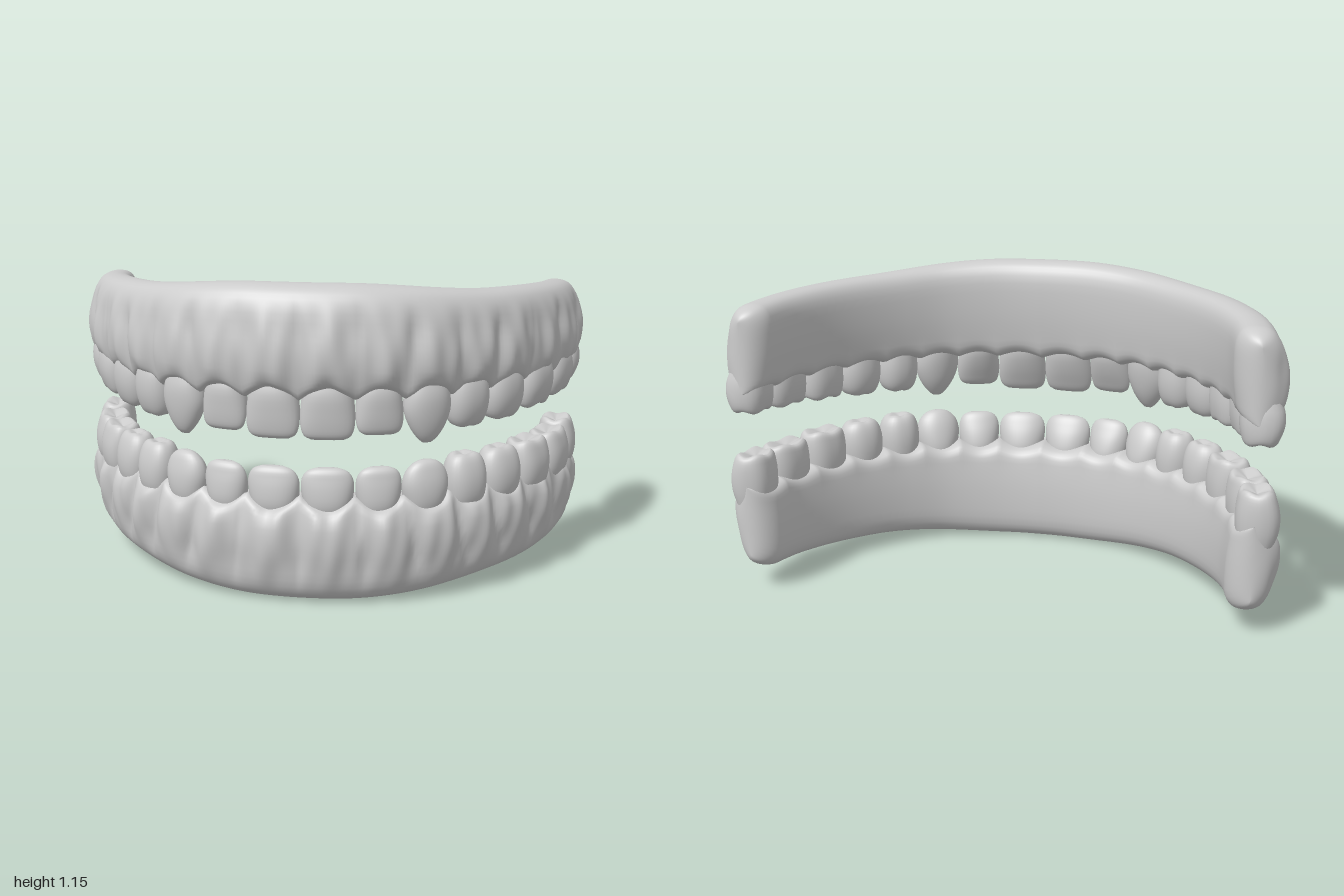
import * as THREE from 'three';

const material = new THREE.MeshStandardMaterial({ color: 0xcccccc });
const TOTAL = 1.15; // overall height; the upper jaw is the lower one mirrored about its middle

// Dental arch seen from above (x, z), one half mirrored to the other
const half = [[0.2, 0.371], [0.4, 0.304], [0.552, 0.203], [0.686, 0.07], [0.792, -0.08], [0.87, -0.25], [0.904, -0.4], [0.914, -0.495]];
const arch = new THREE.CatmullRomCurve3([
  ...half.map(([x, z]) => new THREE.Vector3(-x, 0, z)).reverse(),
  new THREE.Vector3(0, 0, 0.391),
  ...half.map(([x, z]) => new THREE.Vector3(x, 0, z)),
]);
arch.arcLengthDivisions = 1500;
const L = arch.getLength() / 2;

// Tooth spacing along the arch, from the middle to the back
const rawWidths = [0.184, 0.161, 0.165, 0.156, 0.17, 0.178, 0.192, 0.162];
const rawSum = rawWidths.reduce((a, b) => a + b, 0);
const widths = rawWidths.map((w) => (w * L) / rawSum);
const starts = widths.map((_, i) => widths.slice(0, i).reduce((a, b) => a + b, 0));

const smooth = THREE.MathUtils.smoothstep;

// Point and outward normal at signed distance s from the middle of the arch
function frame(s) {
  const u = THREE.MathUtils.clamp((s / L + 1) / 2, 0, 1);
  const t = arch.getTangentAt(u);
  return { p: arch.getPointAt(u), n: new THREE.Vector3(-t.z, 0, t.x).normalize() };
}

// 0 between two teeth, 1 at the middle of a tooth
function bulge(a) {
  const d = THREE.MathUtils.clamp(a, 0, L - 1e-6);
  let i = 7;
  while (starts[i] > d) i--;
  return Math.abs(Math.sin((Math.PI * (d - starts[i])) / widths[i]));
}

// Surface over rows i = 0..nu and a loop or strip of columns j
function grid(nu, nv, closeU, closeV, fn, flip = false) {
  const pos = [], idx = [];
  const cu = closeU ? nu : nu + 1, cv = closeV ? nv : nv + 1;
  for (let i = 0; i < cu; i++) for (let j = 0; j < cv; j++) pos.push(...fn(i, j));
  for (let i = 0; i < nu; i++) {
    for (let j = 0; j < nv; j++) {
      const i1 = (i + 1) % cu, j1 = (j + 1) % cv;
      const a = i * cv + j, b = i1 * cv + j, c = i1 * cv + j1, d = i * cv + j1;
      if (flip) idx.push(a, c, b, a, d, c);
      else idx.push(a, b, c, a, c, d);
    }
  }
  const g = new THREE.BufferGeometry();
  g.setAttribute('position', new THREE.Float32BufferAttribute(pos, 3));
  g.setIndex(idx);
  g.computeVertexNormals();
  return g;
}

// Gum section: outward offset, height fraction (0 = jaw edge, 1 = gum line)
const section = new THREE.CatmullRomCurve3([
  [-0.02, 0], [0.03, 0.03], [0.07, 0.15], [0.096, 0.4], [0.108, 0.65], [0.098, 0.87], [0.073, 0.99],
  [0.02, 1.03], [-0.04, 1.03], [-0.076, 0.98], [-0.094, 0.8], [-0.106, 0.4], [-0.096, 0.12], [-0.064, 0.02],
].map(([n, h]) => new THREE.Vector3(n, h, 0)), true);

function gum(upper) {
  const NU = 380, NV = 46, END = 0.09;
  const ring = Array.from({ length: NV }, (_, j) => section.getPoint(j / NV));
  const rows = Array.from({ length: NU + 1 }, (_, i) => {
    const s = L * Math.sin((i / NU - 0.5) * Math.PI);
    return { s, ...frame(s) };
  });
  const slant = upper ? 0.02 : 0.08;
  const ridge = upper ? 0.02 : 0.03;
  return grid(NU, NV, false, true, (i, j) => {
    const { s, p, n } = rows[i];
    const a = Math.abs(s), { x: off, y: h } = ring[j];
    // jaw edge is deepest at the front
    const edge = 0.03 * smooth(a, 0.15, 0.75) + 0.055 * (a / L) ** 2;
    const line = 0.372 + 0.012 * (a / L) ** 2;
    const outer = smooth(off, 0.02, 0.07);
    let y = edge + h * (line - edge);
    // gum line dips at each tooth and rises between them
    const scallop = (0.03 - 0.052 * bulge(a)) * (1 - (upper ? 0.5 : 0.2) * (a / L));
    y += scallop * smooth(h, 0.75, 1) * (0.4 + 0.6 * outer);
    // root ridges and fine ripples on the outer wall
    const b = bulge(a - slant * (1 - h) * Math.min(1, a / 0.4));
    const fade = smooth(h, 0.08, 0.5) * outer;
    let o = off * (1 - 0.17 * (a / L));
    o += fade * (ridge * (b - 0.75) + 0.003 * Math.sin(a * 57 + h * 5) + 0.003 * Math.sin(a * 83 - h * 4));
    // rounded ends
    const q = 1 - Math.min(1, (L - a) / END);
    const k = Math.sqrt(Math.max(0, 1 - q * q));
    o *= k;
    y = line + (y - line) * (1 - 0.18 * (1 - k));
    return [p.x + n.x * o, upper ? TOTAL - y : y, p.z + n.z * o];
  }, upper);
}

// Tooth profiles: rows of height, half width (share of spacing), half depth, outward shift
const shapes = {
  upperIncisor: { rows: [[0, 0.38, 0.05, 0.005], [0.25, 0.45, 0.06, 0.01], [0.55, 0.49, 0.05, 0.018], [0.8, 0.48, 0.035, 0.027], [0.94, 0.42, 0.023, 0.031], [1, 0.3, 0.011, 0.032]], power: 2.4, dip: 0, cusp: 0 },
  lowerIncisor: { rows: [[0, 0.38, 0.05, 0.008], [0.25, 0.44, 0.058, 0.012], [0.55, 0.48, 0.05, 0.018], [0.78, 0.46, 0.036, 0.024], [0.93, 0.37, 0.024, 0.028], [1, 0.21, 0.011, 0.028]], power: 2.3, dip: 0, cusp: 0 },
  upperCanine: { rows: [[0, 0.4, 0.055, 0.012], [0.25, 0.48, 0.065, 0.018], [0.5, 0.5, 0.06, 0.022], [0.75, 0.38, 0.045, 0.026], [0.93, 0.21, 0.024, 0.03], [1, 0.1, 0.009, 0.03]], power: 2.2, dip: 0, cusp: 0 },
  lowerCanine: { rows: [[0, 0.38, 0.055, 0.008], [0.25, 0.45, 0.064, 0.012], [0.55, 0.5, 0.058, 0.018], [0.8, 0.43, 0.042, 0.022], [0.95, 0.27, 0.024, 0.026], [1, 0.12, 0.01, 0.026]], power: 2.3, dip: 0, cusp: 0 },
  premolar: { rows: [[0, 0.4, 0.06, 0.01], [0.25, 0.47, 0.071, 0.013], [0.55, 0.5, 0.072, 0.013], [0.82, 0.45, 0.06, 0.012], [0.96, 0.35, 0.044, 0.012], [1, 0.23, 0.03, 0.012]], power: 2.5, dip: 0.012, cusp: 0.002 },
  molar: { rows: [[0, 0.43, 0.062, 0.01], [0.25, 0.48, 0.073, 0.013], [0.55, 0.5, 0.075, 0.013], [0.82, 0.48, 0.066, 0.01], [0.96, 0.43, 0.056, 0.008], [1, 0.36, 0.045, 0.008]], power: 3, dip: 0.02, cusp: 0.005 },
};

function tooth({ rows, power, dip, cusp }, width, height) {
  const SIDES = 32, LEVELS = 14, CAP = 4;
  const wide = new THREE.CatmullRomCurve3(rows.map(([t, w]) => new THREE.Vector3(t, w, 0)));
  const deep = new THREE.CatmullRomCurve3(rows.map(([t, , d, o]) => new THREE.Vector3(t, d, o)));
  return grid(SIDES, LEVELS + CAP, true, false, (i, j) => {
    const th = (i / SIDES) * Math.PI * 2, u = Math.min(1, j / LEVELS);
    const W = wide.getPoint(u), D = deep.getPoint(u);
    const shrink = j > LEVELS ? 1 - (j - LEVELS) / CAP : 1;
    const s = Math.sin(th), c = Math.cos(th);
    const r = shrink / Math.pow(Math.abs(s) ** power + Math.abs(c) ** power, 1 / power);
    const y = W.x * height - dip * (1 - shrink) - cusp * Math.cos(4 * th) * W.x ** 6 * shrink;
    const taper = 1 + 0.2 * Math.min(0, c); // narrower towards the tongue
    return [s * r * W.y * width * 1.04 * taper, y, c * r * D.y + D.z];
  });
}

const names = ['centralIncisor', 'lateralIncisor', 'canine', 'firstPremolar', 'secondPremolar', 'firstMolar', 'secondMolar', 'thirdMolar'];
const tips = {
  upper: [0.608, 0.625, 0.586, 0.626, 0.631, 0.65, 0.662, 0.678],
  lower: [0.503, 0.505, 0.52, 0.522, 0.52, 0.515, 0.508, 0.515],
};

function jaw(side) {
  const upper = side === 'upper', group = new THREE.Group();
  group.name = side + 'Jaw';
  const gumMesh = new THREE.Mesh(gum(upper), material);
  gumMesh.name = side + 'Gum';
  group.add(gumMesh);

  // Eight teeth on each half, the upper ones turned over
  const base = upper ? 0.825 : 0.325;
  names.forEach((name, i) => {
    const kind = i < 2 ? side + 'Incisor' : i === 2 ? side + 'Canine' : i < 5 ? 'premolar' : 'molar';
    const geometry = tooth(shapes[kind], widths[i], Math.abs(tips[side][i] - base));
    for (const sign of [1, -1]) {
      const { p, n } = frame(sign * (starts[i] + widths[i] / 2));
      const mesh = new THREE.Mesh(geometry, material);
      mesh.name = side + (sign > 0 ? 'Left' : 'Right') + name[0].toUpperCase() + name.slice(1);
      mesh.position.set(p.x, base, p.z);
      mesh.rotation.set(0, Math.atan2(n.x, n.z), upper ? Math.PI : 0, 'YXZ');
      group.add(mesh);
    }
  });
  return group;
}

export function createModel() {
  const model = new THREE.Group();
  model.name = 'dentures';
  model.add(jaw('upper'), jaw('lower'));
  return model;
}
